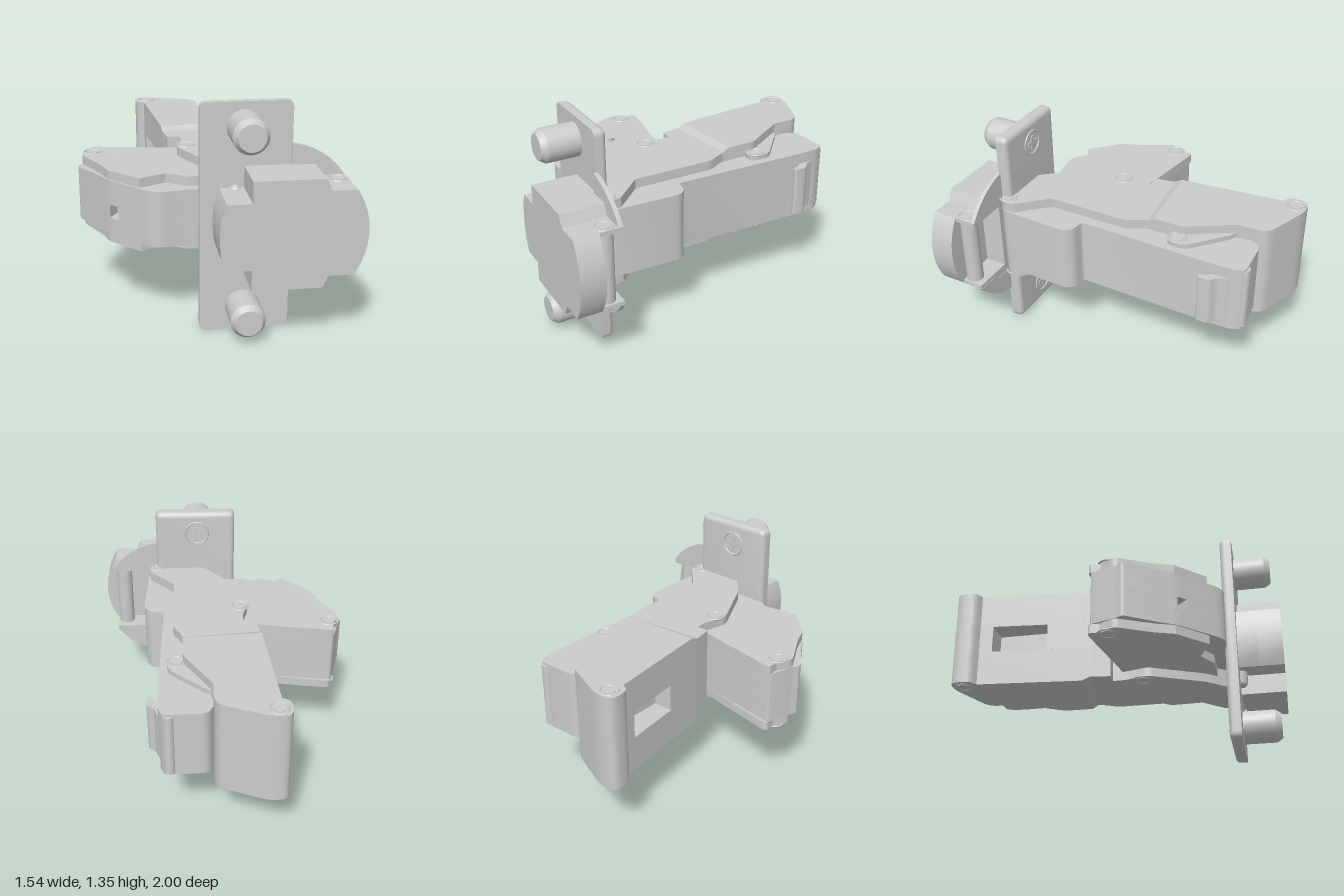
import * as THREE from 'three';
import { toCreasedNormals } from 'three/addons/utils/BufferGeometryUtils.js';

const MID = 0.675; // height of the mirror plane
const V = (p) => new THREE.Vector2(p[0], p[1]);

// Polygon with softened corners; a third entry in a point is its corner radius
function outline(pts, r = 0) {
  const path = new THREE.Shape();
  pts.forEach((p, i) => {
    const a = V(pts[(i + pts.length - 1) % pts.length]), c = V(p), b = V(pts[(i + 1) % pts.length]);
    const want = p[2] ?? r;
    const cut = (q) => q.clone().sub(c).setLength(Math.min(want, q.distanceTo(c) * 0.45)).add(c);
    const s = want ? cut(a) : c, e = want ? cut(b) : c;
    if (i) path.lineTo(s.x, s.y); else path.moveTo(s.x, s.y);
    if (want) path.quadraticCurveTo(c.x, c.y, e.x, e.y);
  });
  path.closePath();
  return path;
}

export function createModel() {
  const model = new THREE.Group();
  const mat = new THREE.MeshStandardMaterial({ color: 0xcccccc });

  const add = (name, geo) => {
    const mesh = new THREE.Mesh(toCreasedNormals(geo, 0.4), mat);
    mesh.name = name;
    model.add(mesh);
    return mesh;
  };
  const extrude = (shape, depth) =>
    new THREE.ExtrudeGeometry(shape, { depth, bevelEnabled: false, curveSegments: 6 });
  // Plan outline of [x, z] points raised from y0 to y1
  const planGeo = (pts, y0, y1, holes = []) => {
    const flip = (list) => list.map(([x, z, r]) => [x, -z, r]);
    const shape = outline(flip(pts));
    holes.forEach((h) => shape.holes.push(outline(flip(h))));
    return extrude(shape, y1 - y0).rotateX(-Math.PI / 2).translate(0, y0, 0);
  };
  const plan = (name, pts, y0, y1, holes) => add(name, planGeo(pts, y0, y1, holes));
  // Front outline of [x, y] points, extruded from z0 to z1
  const front = (name, pts, z0, z1, r) =>
    add(name, extrude(outline(pts, r), z1 - z0).translate(0, 0, z0));
  const mirrored = (half) => [...half, ...half.slice().reverse().map(([x, y]) => [x, 2 * MID - y])];
  // Plan body with a recess cut into one side over the heights ya..yb
  const recessed = (name, pts, at, notch, y0, ya, yb, y1) => {
    plan(name + 'Lower', pts, y0, ya);
    plan(name + 'Middle', [...pts.slice(0, at), ...notch, ...pts.slice(at)], ya, yb);
    plan(name + 'Upper', pts, yb, y1);
  };
  const upright = (name, x, z, r, half) =>
    add(name, new THREE.CylinderGeometry(r, r, half * 2, 24).translate(x, MID, z));

  // Rear arm: tall block with a window in its left-hand side
  const rear = [
    [-0.36, -0.99, 0.1], [-0.25, -1.0, 0.06], [0.03, -0.89, 0.04], [0.06, -0.84, 0.03], [0.06, -0.7],
    [0.23, -0.42, 0.03], [0.23, -0.24], [-0.24, -0.2], [-0.305, -0.84], [-0.36, -0.87, 0.05],
  ];
  recessed('rearArm', rear, 8, [[-0.263, -0.42], [-0.14, -0.42], [-0.14, -0.76], [-0.297, -0.76]],
    0.375, 0.59, 0.76, 0.975);

  // Sloping step between the rear and front of the arm
  const step = planGeo([[-0.24, -0.2], [0.23, -0.24], [0.23, -0.2], [-0.235, -0.15]], 0.375, 0.975);
  const sp = step.attributes.position;
  for (let i = 0; i < sp.count; i++) {
    const line = -0.19 - 0.085 * (sp.getX(i) + 0.1);
    if (sp.getZ(i) > line) sp.setY(i, MID + Math.sign(sp.getY(i) - MID) * 0.275);
  }
  step.computeVertexNormals();
  add('armStep', step);

  // Front of the arm, reaching forward to the mounting plate
  plan('frontArm', [
    [-0.235, -0.15], [0.23, -0.2], [0.24, -0.17, 0.03], [0.29, -0.08, 0.04], [0.29, 0.43], [0.45, 0.6],
    [0.46, 0.67, 0.04], [0.41, 0.72, 0.05], [0.34, 0.68], [0.1, 0.66], [-0.02, 0.52],
    [-0.18, 0.19, 0.03], [-0.14, 0.04], [-0.14, -0.03], [-0.215, -0.03],
  ], 0.4, 0.95);

  // Long side arm with its stepped shoulder
  plan('sideArm', [
    [0.05, -0.77, 0.03], [0.09, -0.855, 0.04], [0.34, -0.865, 0.02], [0.365, -0.81, 0.02],
    [0.37, -0.7], [0.355, 0.18, 0.02], [0.44, 0.19, 0.03], [0.48, 0.24, 0.03],
    [0.465, 0.67, 0.03], [0.4, 0.73, 0.04], [0.1, 0.66], [0.1, -0.6],
  ], 0.46, 0.89);
  upright('armEndRoll', 0.31, -0.85, 0.032, 0.2);
  plan('releaseHook', [
    [0.34, -0.79], [0.37, -0.78, 0.02], [0.39, -0.72, 0.02], [0.435, -0.69, 0.02],
    [0.435, -0.61, 0.02], [0.4, -0.61, 0.02], [0.4, -0.65, 0.02], [0.35, -0.7],
  ], 0.51, 0.82);

  // Link tongues over and under the side arm
  for (const y of [0.43, 0.89]) {
    plan('linkTongue', [
      [0.06, -0.7, 0.03], [0.11, -0.67], [0.32, -0.48, 0.04], [0.32, -0.36, 0.06],
      [0.23, -0.35, 0.05], [0.12, -0.52],
    ], y, y + 0.03);
  }

  // Wing: inner body with a small window in the sloping face
  const wing = [
    [-0.7, -0.05, 0.02], [-0.14, 0.03], [0, 0.3], [0.08, 0.65], [-0.17, 0.655], [-0.32, 0.68, 0.03],
    [-0.38, 0.66, 0.05], [-0.6, 0.43, 0.03], [-0.65, 0.34], [-0.775, 0.15, 0.02], [-0.75, 0.11, 0.02],
  ];
  recessed('wingBody', wing, 7, [[-0.55, 0.482], [-0.49, 0.42], [-0.55, 0.36], [-0.595, 0.435]],
    0.51, 0.61, 0.69, 0.84);
  // Wing side plates with a round and a three-sided hole
  const circle = (x, z, r) => Array.from({ length: 16 }, (_, i) =>
    [x + r * Math.cos(i * Math.PI / 8), z + r * Math.sin(i * Math.PI / 8)]);
  for (const y of [0.455, 0.84]) {
    plan('wingPlate', [
      [-0.7, -0.06, 0.02], [-0.66, -0.06], [-0.14, 0.03], [0, 0.3], [0.06, 0.59], [-0.16, 0.59],
      [-0.28, 0.52], [-0.43, 0.59], [-0.6, 0.42], [-0.64, 0.31], [-0.75, 0.1, 0.03], [-0.7, 0.01],
    ], y, y + 0.055, [circle(-0.385, 0.255, 0.032),
      [[-0.55, 0.13, 0.03], [-0.48, 0.2, 0.03], [-0.48, 0.245, 0.03], [-0.61, 0.23, 0.04]]]);
  }

  // Hinge pins: a rim and a head at both ends
  const pins = [[-0.285, -0.93, 0.3], [-0.125, 0.15, 0.275], [-0.68, 0.05, 0.22],
    [0.4, 0.67, 0.275], [0.645, 0.8, 0.245], [0.27, -0.41, 0.245]];
  for (const [x, z, h] of pins) {
    upright('hingePin', x, z, 0.038, h + 0.004);
    for (const s of [-1, 1]) {
      add('pinRim', new THREE.TorusGeometry(0.052, 0.006, 6, 24).rotateX(Math.PI / 2)
        .translate(x, MID + s * h, z));
    }
  }
  upright('cupRoll', 0.645, 0.8, 0.052, 0.215);

  // Mounting plate with rounded back edges
  const plate = [[-0.11, 0], [0.405, 0], [0.405, 1.35], [-0.11, 1.35]];
  add('mountingPlateBack', new THREE.ExtrudeGeometry(outline(plate, 0.04), {
    depth: 0.01, bevelThickness: 0.03, bevelSize: 0.03, bevelOffset: -0.03, bevelSegments: 4, curveSegments: 6,
  }).translate(0, 0, 0.682));
  front('mountingPlateFront', plate, 0.685, 0.725, 0.04);

  // Dowels on the front of the plate, cross-head screws behind
  for (const y of [0.143, 1.208]) {
    const profile = [[0, 0], [0.1, 0], [0.1, 0.2], [0.076, 0.235], [0, 0.235]].map(V);
    add('dowel', new THREE.LatheGeometry(profile, 32).rotateX(Math.PI / 2).translate(0.137, y, 0.72));
    add('screwRim', new THREE.TorusGeometry(0.075, 0.007, 6, 32).translate(0.137, y, 0.652));
    for (const [w, h] of [[0.09, 0.025], [0.025, 0.09]]) {
      add('screwCross', new THREE.BoxGeometry(w, h, 0.01).translate(0.137, y, 0.65));
    }
  }

  // Cup: solid front, open-sided pocket behind
  const cupHalf = [[-0.038, 0.7], [-0.03, 0.79], [0, 0.865], [0.137, 0.865], [0.137, 0.988],
    [0.53, 0.988], [0.56, 0.92]];
  const rim = (a0, a1, r, n = 10) => Array.from({ length: n + 1 }, (_, i) => {
    const a = a0 + (a1 - a0) * i / n;
    return [0.335 + r * Math.cos(a), MID + r * Math.sin(a)];
  });
  front('cupFront', mirrored([...cupHalf, ...rim(0.59, 0.02, 0.44)]), 0.85, 1);
  front('cupBack', mirrored([...cupHalf, [0.703, 0.92], [0.703, 0.895], [0.45, 0.895]]), 0.715, 0.85);

  // Thin flange segments above and below the cup
  for (const s of [1, -1]) {
    const seg = [[0.4, 0.95], [0.53, 0.95], [0.56, 0.92], ...rim(0.59, 1.42, 0.44)];
    front('cupFlange', seg.map(([x, y]) => [x, MID + s * (y - MID)]), 0.712, 0.738);
  }
  // Rod lying against the plate beside the cup
  add('plateRod', new THREE.CapsuleGeometry(0.035, 0.43, 6, 16).translate(0.085, 0.635, 0.735));

  return model;
}
